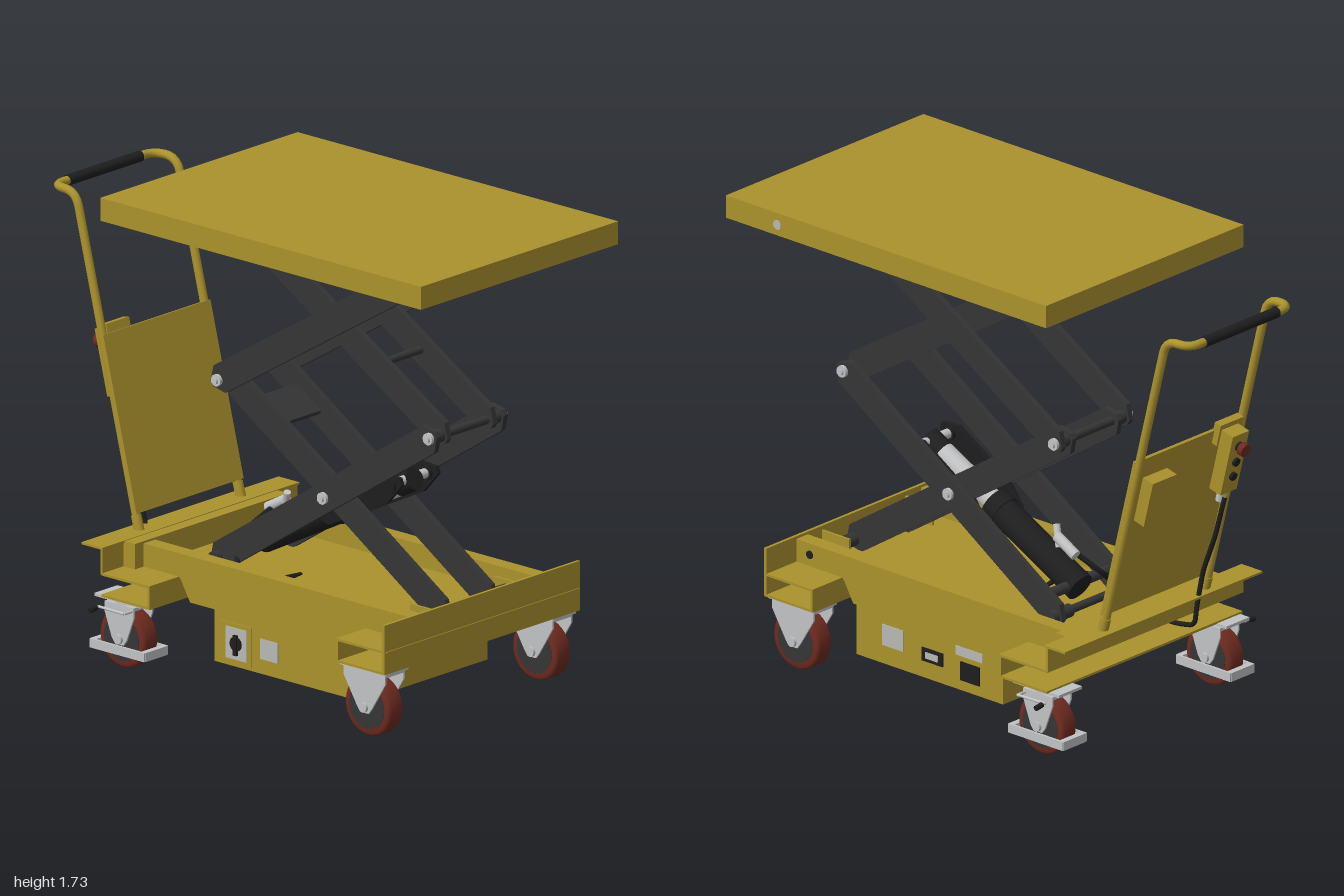
import * as THREE from 'three';

const mat = (name, color) => {
  const m = new THREE.MeshStandardMaterial({ color });
  m.name = name;
  return m;
};

export function createModel() {
  const root = new THREE.Group();
  const yellow = mat('yellow paint', 0xab922d);
  const dark = mat('dark arm paint', 0x353535);
  const black = mat('black', 0x1e1e1e);
  const silver = mat('silver', 0xc0c2c4);
  const red = mat('red tyre', 0x6e2b20);
  const label = mat('pale label', 0xb8b8b4);

  const add = (name, geo, m, x = 0, y = 0, z = 0, parent = root) => {
    const mesh = new THREE.Mesh(geo, m);
    mesh.name = name;
    mesh.position.set(x, y, z);
    parent.add(mesh);
    return mesh;
  };
  // box given by its min and max on each axis
  const span = (name, m, x0, x1, y0, y1, z0, z1, parent = root) =>
    add(name, new THREE.BoxGeometry(x1 - x0, y1 - y0, z1 - z0), m, (x0 + x1) / 2, (y0 + y1) / 2, (z0 + z1) / 2, parent);
  // cylinder between two points
  const rod = (name, m, a, b, r, parent = root, seg = 20) => {
    const p = new THREE.Vector3(...a), d = new THREE.Vector3(...b).sub(p);
    const mesh = add(name, new THREE.CylinderGeometry(r, r, d.length(), seg), m, 0, 0, 0, parent);
    mesh.position.copy(p).addScaledVector(d, 0.5);
    mesh.quaternion.setFromUnitVectors(new THREE.Vector3(0, 1, 0), d.normalize());
    return mesh;
  };
  // plate outlined in x, y and centred on z
  const plate = (name, m, pts, depth, z, parent = root) => {
    const geo = new THREE.ExtrudeGeometry(new THREE.Shape(pts.map(p => new THREE.Vector2(...p))), { depth, bevelEnabled: false });
    return add(name, geo, m, 0, 0, z - depth / 2, parent);
  };
  // tube through points with rounded corners
  const pipe = (name, m, points, corner, r, seg = 90) => {
    const p = points.map(a => new THREE.Vector3(...a));
    const path = new THREE.CurvePath();
    let from = p[0];
    for (let i = 1; i < p.length - 1; i++) {
      const a = p[i].clone().add(p[i - 1].clone().sub(p[i]).setLength(corner));
      const b = p[i].clone().add(p[i + 1].clone().sub(p[i]).setLength(corner));
      path.add(new THREE.LineCurve3(from, a));
      path.add(new THREE.QuadraticBezierCurve3(a, p[i], b));
      from = b;
    }
    path.add(new THREE.LineCurve3(from, p[p.length - 1]));
    return add(name, new THREE.TubeGeometry(path, seg, r, 12), m);
  };

  // Table: open-bottomed tray with inner rails
  span('tableTop', yellow, -0.53, 1, 1.722, 1.735, -0.515, 0.515);
  for (const x of [-0.53, 0.988]) span('tableEndSkirt', yellow, x, x + 0.012, 1.65, 1.724, -0.515, 0.515);
  for (const s of [-1, 1]) {
    const side = (name, x0, x1, y0, y1, za, zb) =>
      span(name, yellow, x0, x1, y0, y1, Math.min(s * za, s * zb), Math.max(s * za, s * zb));
    side('tableSideSkirt', -0.53, 1, 1.65, 1.724, 0.503, 0.515);
    side('tableSideFlange', -0.518, 0.988, 1.65, 1.658, 0.45, 0.504);
    side('tableRail', -0.45, 0.92, 1.665, 1.724, 0.215, 0.225);
    side('tableRailFoot', -0.45, 0.92, 1.66, 1.668, 0.215, 0.27);
    // Base side rails and skirts, set in from the ends of the cross channels
    side('baseSideRail', -0.53, 0.82, 0.345, 0.432, 0.345, 0.355);
    side('baseSideRailTop', -0.53, 0.82, 0.422, 0.432, 0.295, 0.35);
    side('baseSideRailInner', -0.53, 0.82, 0.345, 0.425, 0.295, 0.303);
    plate('sideSkirt', yellow, [[-0.3, 0.346], [-0.25, 0.26], [0.54, 0.26], [0.59, 0.346]], 0.01, s * 0.348);
    rod('railBolt', black, [0.745, 0.39, s * 0.35], [0.745, 0.39, s * 0.359], 0.015);
    side('armBracket', 0.68, 0.81, 0.345, 0.425, 0.212, 0.222);
  }
  rod('tableSideHole', label, [0.755, 1.69, -0.51], [0.755, 1.69, -0.517], 0.018);

  // Base deck, end walls and open channels above the casters
  span('baseDeck', yellow, -0.53, 0.82, 0.338, 0.348, -0.353, 0.353);
  span('handleEndWall', yellow, -0.53, -0.47, 0.345, 0.44, -0.4, 0.4);
  span('handleEndFlange', yellow, -0.62, -0.52, 0.434, 0.442, -0.515, 0.515);
  span('handleEndLip', yellow, -0.535, -0.525, 0.34, 0.44, -0.51, 0.51);
  span('farEndWall', yellow, 0.81, 0.822, 0.26, 0.442, -0.51, 0.51);
  span('farSeam', yellow, 0.815, 0.826, 0.338, 0.343, -0.505, 0.505);
  for (const [x0, x1, wall] of [[-0.53, -0.3, -0.31], [0.59, 0.82, 0.59]]) {
    span('channelRoof', yellow, x0, x1, 0.337, 0.346, -0.51, 0.51);
    span('channelFloor', yellow, x0, x1, 0.258, 0.267, -0.51, 0.51);
    span('channelWall', yellow, wall, wall + 0.01, 0.258, 0.345, -0.51, 0.51);
  }

  // Power box under the base
  span('powerBox', yellow, -0.155, 0.545, 0.06, 0.34, -0.33, 0.33);
  span('switchPanel', yellow, -0.12, 0.025, 0.07, 0.22, 0.328, 0.334);
  span('switchPlate', label, -0.095, 0.005, 0.088, 0.205, 0.33, 0.337);
  rod('switchDial', black, [-0.045, 0.147, 0.335], [-0.045, 0.147, 0.342], 0.027);
  span('switchKnob', black, -0.053, -0.037, 0.105, 0.18, 0.337, 0.346);
  span('frontLabel', label, 0.065, 0.15, 0.115, 0.19, 0.326, 0.333);
  span('backLabel', label, 0.32, 0.42, 0.13, 0.21, -0.333, -0.326);
  span('backSocket', black, 0.13, 0.23, 0.125, 0.175, -0.336, -0.328);
  span('backSocketFace', label, 0.15, 0.21, 0.138, 0.162, -0.339, -0.332);
  span('backSmallLabel', label, -0.06, 0.07, 0.19, 0.225, -0.333, -0.326);
  span('backInlet', black, -0.045, 0.045, 0.1, 0.17, -0.336, -0.328);

  // Scissor arms with chamfered ends
  const L = -0.27, R = 0.74, mid = 0.235, y0 = 0.385, y1 = 1.04, y2 = 1.66;
  const arm = (name, xa, ya, xb, yb, z) => {
    const len = Math.hypot(xb - xa, yb - ya), w = 0.053, e = 0.034, c = 0.042;
    const m = plate(name, dark, [[-e, -w + c], [-e + c, -w], [len + e - c, -w], [len + e, -w + c],
      [len + e, w - c], [len + e - c, w], [-e + c, w], [-e, w - c]], 0.022, z);
    m.position.x = xa;
    m.position.y = ya;
    m.rotation.z = Math.atan2(yb - ya, xb - xa);
  };
  for (const s of [-1, 1]) {
    arm('lowerOuterArm', L, y0, R, y1, s * 0.175);
    arm('lowerInnerArm', L, y1, R, y0, s * 0.12);
    arm('upperOuterArm', L, y1, R, y2, s * 0.175);
    arm('upperInnerArm', L, y2, R, y1, s * 0.12);
    const upperMid = (y1 + y2) / 2;
    // outer bolts, with the upper centre bolt facing inwards
    for (const [x, y, z, dir] of [[mid, 0.712, 0.184, 1], [L, y1, 0.184, 1], [R, y1, 0.184, 1], [mid, upperMid, 0.111, -1]]) {
      rod('pivotBolt', silver, [x, y, s * z], [x, y, s * (z + dir * 0.014)], 0.022);
      rod('pivotNut', silver, [x, y, s * (z + dir * 0.014)], [x, y, s * (z + dir * 0.024)], 0.014, root, 6);
      rod('pivotSpacer', dark, [x, y, s * 0.13], [x, y, s * 0.165], 0.025);
    }
    for (const [x, y] of [[L, y0], [R, y0], [L, y2], [R, y2]])
      rod('endRoller', dark, [x, y, s * 0.11], [x, y, s * 0.212], 0.025);
  }
  for (const [x, y] of [[L, y1], [R, y1]]) rod('jointShaft', dark, [x, y, -0.18], [x, y, 0.18], 0.016);
  for (const [x, y] of [[L, y0], [R, y0], [L, y2]]) rod('endShaft', dark, [x, y, -0.2], [x, y, 0.2], 0.015);
  rod('upperShaft', dark, [0.67, 1.622, -0.19], [0.67, 1.622, 0.19], 0.014);
  rod('upperTie', dark, [0.427, 1.232, -0.12], [0.427, 1.232, 0.12], 0.014);
  for (const [x, y] of [[0, 1.495], [-0.11, 0.935]])
    add('armCrossPlate', new THREE.BoxGeometry(0.14, 0.02, 0.24), dark, x, y).rotation.z = -0.56;

  // Hydraulic lift cylinder with its lever plates
  rod('cylinderBarrel', black, [-0.22, 0.425, 0], [0.16, 0.622, 0], 0.055, root, 28);
  rod('cylinderCollar', black, [0.14, 0.612, 0], [0.19, 0.637, 0], 0.06, root, 28);
  rod('cylinderRod', silver, [0.16, 0.622, 0], [0.46, 0.775, 0], 0.04, root, 28);
  rod('rodHead', black, [0.43, 0.76, 0], [0.5, 0.796, 0], 0.042, root, 28);
  rod('rodPin', silver, [0.48, 0.795, -0.1], [0.48, 0.795, 0.1], 0.018);
  rod('cylinderFootPin', dark, [-0.2, 0.435, -0.17], [-0.2, 0.435, 0.17], 0.02);
  for (const s of [-1, 1]) {
    plate('liftLever', black, [[0.14, 0.6], [0.18, 0.58], [0.46, 0.72], [0.53, 0.8], [0.52, 0.825], [0.44, 0.83], [0.2, 0.68]], 0.016, s * 0.095);
    rod('leverBoss', black, [0.48, 0.795, s * 0.075], [0.48, 0.795, s * 0.112], 0.026);
  }
  rod('valveBody', silver, [-0.2, 0.54, 0], [-0.11, 0.59, 0], 0.02);
  rod('valveStem', silver, [-0.12, 0.55, 0], [-0.09, 0.625, 0.02], 0.013);
  pipe('hydraulicHose', black, [[-0.17, 0.55, 0.01], [-0.25, 0.45, 0.1], [-0.15, 0.375, 0.22], [0.02, 0.365, 0.2], [0, 0.345, 0.05]], 0.05, 0.01, 50);

  // Casters: the pair near the handle has brakes
  const caster = (x, z, braked) => {
    const g = new THREE.Group();
    g.name = braked ? 'brakedCaster' : 'caster';
    g.position.set(x, 0, z);
    root.add(g);
    const tyre = [[0.07, -0.038], [0.1, -0.038], [0.11, -0.026], [0.11, 0.026], [0.1, 0.038], [0.07, 0.038]];
    add('tyre', new THREE.LatheGeometry(tyre.map(p => new THREE.Vector2(...p)), 36), red, 0, 0.111, 0, g).rotation.x = Math.PI / 2;
    rod('wheelHub', dark, [0, 0.111, -0.0395], [0, 0.111, 0.0395], 0.083, g, 32);
    rod('axle', silver, [0, 0.111, -0.062], [0, 0.111, 0.062], 0.018, g);
    const w = braked ? 0.07 : 0.1, top = braked ? 0.238 : 0.25;
    for (const s of [-1, 1])
      plate('forkSide', silver, [[-w, top], [-w, top - 0.035], [-0.035, 0.11], [-0.02, 0.09], [0.02, 0.09], [0.035, 0.11], [w, top - 0.035], [w, top]], 0.007, s * 0.048, g);
    span('forkCrown', silver, -w, w, top - 0.012, top, -0.05, 0.05, g);
    span('mountPlate', silver, -0.11, 0.11, 0.249, 0.26, -0.06, 0.06, g);
    rod('swivelBearing', silver, [0, 0.234, 0], [0, 0.25, 0], 0.05, g, 24);
    if (!braked) return;
    for (const s of [-1, 1]) {
      span('brakeBar', silver, -0.13, 0.13, 0.055, 0.088, s * 0.058 - 0.005, s * 0.058 + 0.005, g);
      span('brakePedal', silver, s * 0.12 - 0.012, s * 0.12 + 0.012, 0.055, 0.088, -0.058, 0.058, g);
    }
    const o = Math.sign(z);
    rod('brakeLever', silver, [0.06, 0.225, o * 0.05], [0.06, 0.225, o * 0.092], 0.005, g);
    rod('brakeLink', silver, [0.06, 0.225, o * 0.09], [-0.065, 0.225, o * 0.085], 0.005, g);
    rod('brakeArm', silver, [-0.065, 0.225, o * 0.085], [-0.065, 0.225, o * 0.11], 0.005, g);
    rod('brakeKnob', black, [-0.065, 0.225, o * 0.1], [-0.065, 0.22, o * 0.132], 0.01, g);
  };
  for (const z of [-0.437, 0.437]) {
    caster(-0.465, z, true);
    caster(0.705, z, false);
  }

  // Push handle and back panel
  const hx = y => -0.575 - 0.3 * (y - 0.44) / 1.185;
  pipe('handleTube', yellow, [[-0.575, 0.44, 0.265], [-0.875, 1.625, 0.265], [-0.985, 1.625, 0.265],
    [-0.985, 1.625, -0.265], [-0.875, 1.625, -0.265], [-0.575, 0.44, -0.265]], 0.054, 0.016, 160);
  rod('handleGrip', black, [-0.985, 1.625, -0.19], [-0.985, 1.625, 0.19], 0.02);
  for (const s of [-1, 1]) rod('handleSocket', yellow, [-0.572, 0.435, s * 0.265], [hx(0.49), 0.49, s * 0.265], 0.019);
  const panel = new THREE.Group();
  panel.name = 'handlePanel';
  panel.position.set(hx(0.815) + 0.012, 0.815, 0);
  panel.rotation.z = Math.atan(0.3 / 1.185);
  root.add(panel);
  span('panelSheet', yellow, -0.006, 0.006, -0.325, 0.322, -0.28, 0.28, panel);
  span('documentBox', yellow, -0.055, -0.005, 0.06, 0.24, -0.22, -0.095, panel);

  // Hand control with buttons, emergency stop and cable
  span('controlHook', yellow, -0.03, 0.0, 0.27, 0.355, 0.13, 0.25, panel);
  span('controlBody', yellow, -0.085, -0.03, 0.09, 0.335, 0.14, 0.225, panel);
  rod('stopStem', black, [-0.084, 0.285, 0.182], [-0.1, 0.285, 0.182], 0.018, panel);
  rod('stopButton', red, [-0.1, 0.285, 0.182], [-0.122, 0.285, 0.182], 0.025, panel);
  for (const y of [0.22, 0.16]) rod('controlButton', black, [-0.084, y, 0.182], [-0.096, y, 0.182], 0.016, panel);
  rod('cableGland', silver, [-0.055, 0.092, 0.182], [-0.055, 0.04, 0.182], 0.016, panel);
  pipe('controlCable', black, [[-0.745, 0.86, 0.182], [-0.7, 0.7, 0.182], [-0.625, 0.54, 0.2],
    [-0.595, 0.4, 0.2], [-0.585, 0.32, 0.2], [-0.5, 0.305, 0.2], [-0.3, 0.305, 0.2]], 0.03, 0.009);
  return root;
}
